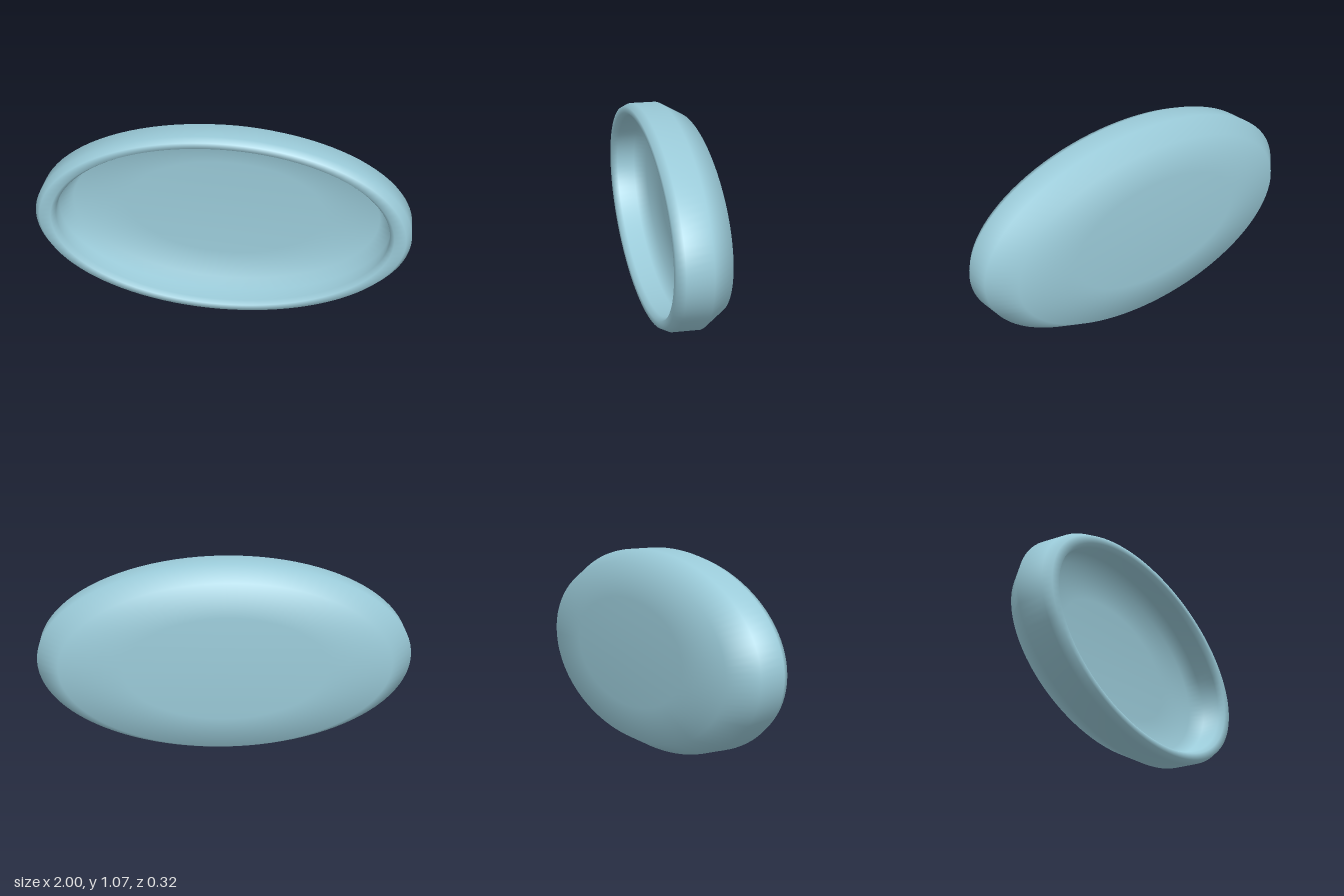
import * as THREE from 'three';

// Half height of the oval relative to its half width
const OVAL = 0.533;

// Dish section as [radius, depth]: back centre, outer wall, rim, inner wall, floor centre
const SECTION = [
  [0, -0.16], [0.54, -0.16], [0.88, -0.133], [1, -0.015], [1, 0.12],
  [0.97, 0.16], [0.91, 0.16], [0.887, 0.13], [0.893, 0.03],
  [0.83, -0.035], [0.535, -0.057], [0, -0.057],
];

export function createModel() {
  const model = new THREE.Group();
  model.name = 'ovalDish';

  // One revolved shell, turned to face forward and squashed into an oval
  const points = SECTION.map(([r, z]) => new THREE.Vector2(r, z));
  const geometry = new THREE.LatheGeometry(points, 96);
  geometry.rotateX(Math.PI / 2);
  geometry.scale(1, OVAL, 1);
  geometry.translate(0, OVAL, 0);

  const dish = new THREE.Mesh(geometry, new THREE.MeshStandardMaterial({ color: 0x9bcbd9 }));
  dish.name = 'dish';
  model.add(dish);
  return model;
}
